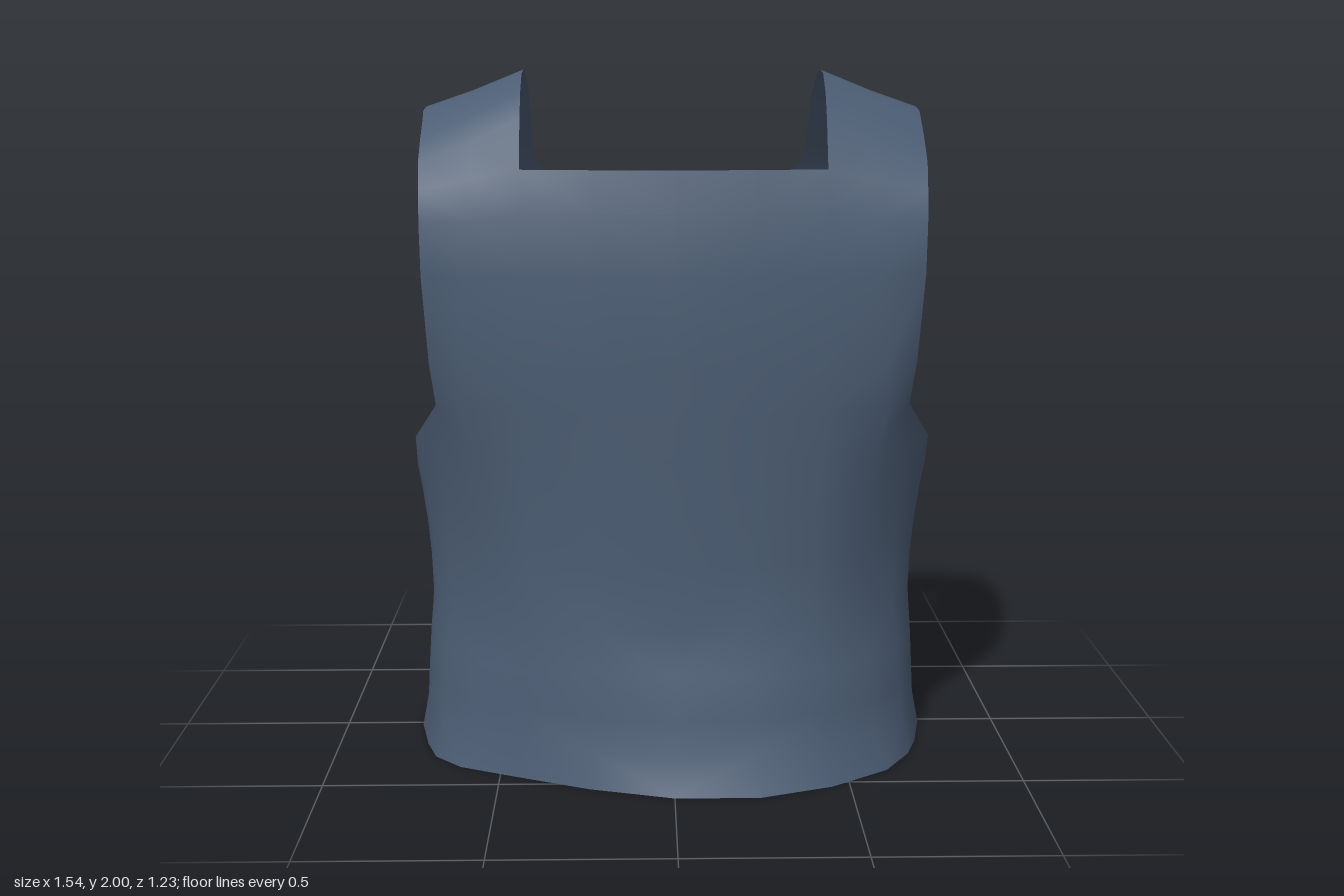
import * as THREE from 'three';
import { mergeGeometries, mergeVertices } from 'three/addons/utils/BufferGeometryUtils.js';

// Columns of the half body, front centre to back opening:
// hem [x, z], waist [x, z], top edge [x, y, z]
const COLUMNS = [
  [[0, 0.61], [0, 0.485], [0, 1.07, 0.5]],
  [[0.24, 0.575], [0.22, 0.475], [0.22, 1.07, 0.495]],
  [[0.45, 0.49], [0.41, 0.435], [0.42, 1.07, 0.465]],
  [[0.62, 0.39], [0.54, 0.345], [0.595, 1.07, 0.435]],
  [[0.7, 0.285], [0.65, 0.235], [0.67, 1.07, 0.34]],
  [[0.735, 0.18], [0.7, 0.14], [0.74, 0.96, 0.25]],
  [[0.755, 0.08], [0.72, 0.06], [0.75, 0.85, 0.13]],
  [[0.768, 0.02], [0.724, 0], [0.75, 0.79, 0.03]],
  [[0.77, -0.04], [0.725, -0.06], [0.75, 0.77, -0.06]],
  [[0.765, -0.12], [0.722, -0.12], [0.75, 0.79, -0.16]],
  [[0.755, -0.2], [0.71, -0.2], [0.75, 0.85, -0.25]],
  [[0.71, -0.33], [0.67, -0.315], [0.745, 0.96, -0.37]],
  [[0.61, -0.44], [0.58, -0.42], [0.67, 1.07, -0.47]],
  [[0.43, -0.545], [0.42, -0.53], [0.45, 1.02, -0.565]],
  [[0.14, -0.605], [0.14, -0.59], [0.15, 0.93, -0.62]],
];
const BACK_TOP = [14, 13, 12];

// Strap stations over the shoulder: inner edge, outer edge, backward bulge of the middle
const STRAP = [
  [[0.42, 1.735, 0.43], [0.695, 1.68, 0.42], 0],
  [[0.42, 1.87, 0.37], [0.7, 1.75, 0.365], 0],
  [[0.42, 1.94, 0.32], [0.7, 1.81, 0.3], 0],
  [[0.42, 1.99, 0.245], [0.7, 1.86, 0.23], 0],
  [[0.42, 2.0, 0.16], [0.705, 1.885, 0.16], 0],
  [[0.42, 1.99, 0.07], [0.705, 1.895, 0.08], 0],
  [[0.42, 1.92, -0.1], [0.7, 1.84, -0.1], 0],
  [[0.42, 1.74, -0.275], [0.7, 1.77, -0.2], 0.005],
  [[0.34, 1.6, -0.4], [0.69, 1.64, -0.315], 0.015],
  [[0.295, 1.45, -0.475], [0.685, 1.48, -0.385], 0.025],
  [[0.235, 1.2, -0.575], [0.675, 1.24, -0.44], 0.035],
];

const mix = (a, b, t) => a + (b - a) * t;

// Grid of points to a surface; side -1 mirrors it across x
function gridSurface(rows, side) {
  const width = rows[0].length;
  const index = [];
  for (let r = 0; r < rows.length - 1; r++) {
    for (let c = 0; c < width - 1; c++) {
      const a = r * width + c, b = a + 1, d = a + width, e = d + 1;
      if (side > 0) index.push(a, b, e, a, e, d);
      else index.push(a, e, b, a, d, e);
    }
  }
  const points = rows.flat().flatMap(([x, y, z]) => [x * side, y, z]);
  const geometry = new THREE.BufferGeometry();
  geometry.setAttribute('position', new THREE.Float32BufferAttribute(points, 3));
  geometry.setIndex(index);
  return geometry;
}

// Body from hem to armhole, with a flared hem that swells more on the left
function bodyRows(side) {
  const flare = [[0, 1], [0.1, 0.58], [0.2, 0.46], [0.32, 0.28], [0.45, 0]];
  const rows = flare.map(([y, f]) => COLUMNS.map(([hem, waist]) => {
    const skew = side * 0.6 * hem[0] * Math.max(0, hem[1] - 0.33);
    return [mix(waist[0], hem[0], f), y, mix(waist[1], hem[1] + skew, f)];
  }));
  // The rounded waist section holds its shape until close to the armhole
  for (const t of [0.3, 0.55, 0.8, 1]) {
    const spread = t ** 1.8;
    rows.push(COLUMNS.map(([, waist, top]) =>
      [mix(waist[0], top[0], spread), mix(0.45, top[1], t), mix(waist[1], top[2], spread)]));
  }
  return rows;
}

function strapRows() {
  const rows = STRAP.map(([inner, outer, bulge]) => {
    const middle = inner.map((v, i) => mix(v, outer[i], 0.5));
    middle[2] -= bulge;
    return [inner, middle, outer];
  });
  // The strap runs down into the back panel
  rows.push(BACK_TOP.map((i) => COLUMNS[i][2]));
  return rows;
}

// Chest panel between the body and the neckline
function chestRows() {
  return [
    COLUMNS.slice(0, 5).map((column) => column[2]),
    [[0, 1.2, 0.505], [0.22, 1.2, 0.5], [0.42, 1.2, 0.478], [0.59, 1.2, 0.455], [0.68, 1.2, 0.4]],
    [[0, 1.45, 0.515], [0.22, 1.45, 0.51], [0.42, 1.45, 0.487], [0.57, 1.45, 0.47], [0.69, 1.45, 0.455]],
    [[0, 1.62, 0.5], [0.22, 1.62, 0.488], [0.42, 1.62, 0.463], [0.56, 1.6, 0.455], [0.693, 1.59, 0.447]],
    [[0, 1.735, 0.475], [0.22, 1.735, 0.458], ...strapRows()[0]],
  ];
}

export function createModel() {
  const group = new THREE.Group();
  group.name = 'vest';
  const cloth = new THREE.MeshStandardMaterial({ color: 0x4c5d74, side: THREE.DoubleSide });
  cloth.name = 'slate blue cloth';

  // Both halves are welded into one smooth shell
  const pieces = [];
  for (const side of [1, -1]) {
    for (const rows of [bodyRows(side), chestRows(), strapRows()]) pieces.push(gridSurface(rows, side));
  }
  const shell = mergeVertices(mergeGeometries(pieces), 1e-4);
  shell.computeVertexNormals();
  const mesh = new THREE.Mesh(shell, cloth);
  mesh.name = 'vestShell';
  group.add(mesh);
  return group;
}
